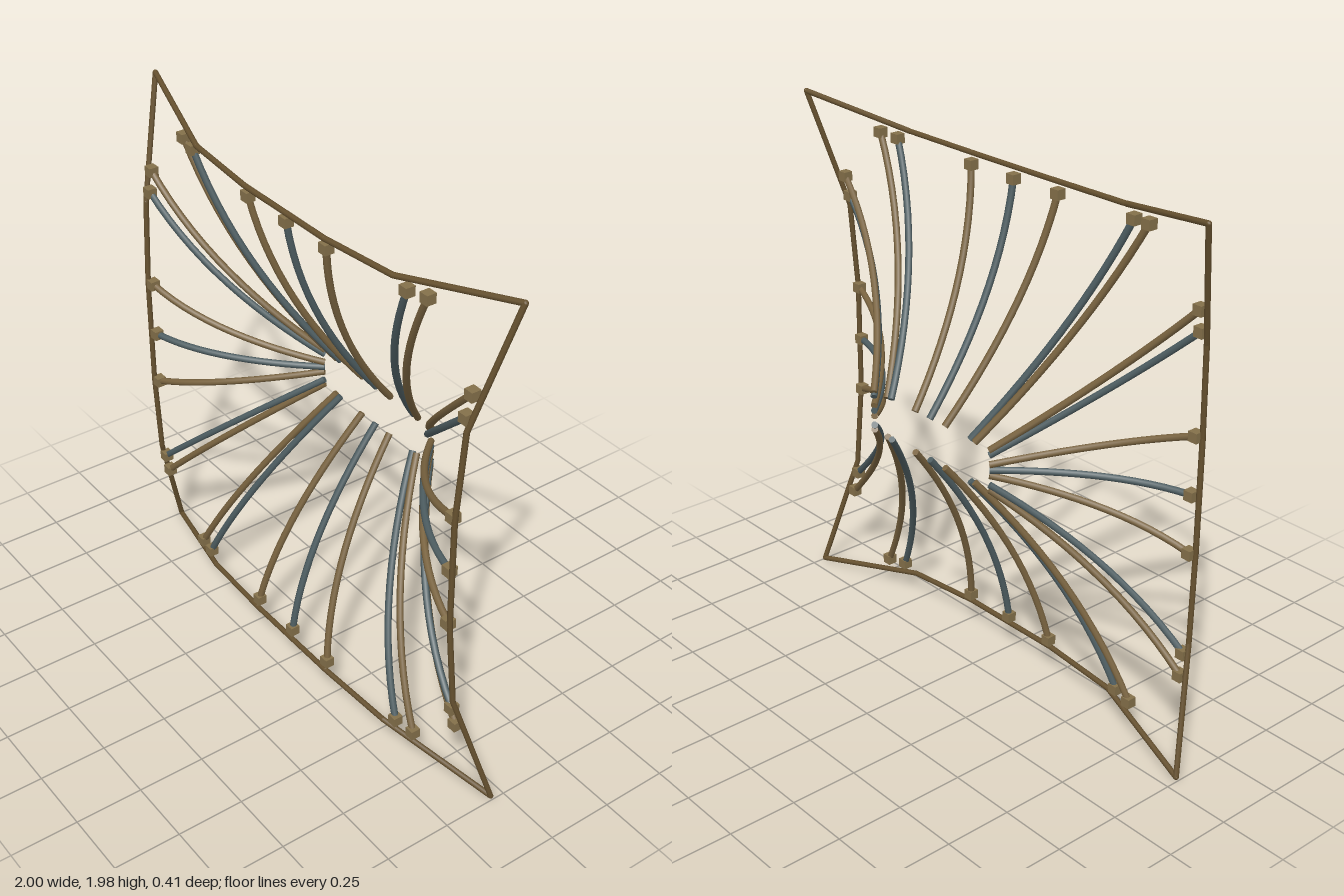
import * as THREE from 'three';

const CY = 0.99; // height of the centre of the frame

export function createModel() {
  const model = new THREE.Group();
  const mat = (name, color) => {
    const m = new THREE.MeshStandardMaterial({ color });
    m.name = name;
    return m;
  };
  const bronze = mat('bronze', 0x7a6440);
  const slate = mat('slate', 0x4e5e62);
  const darkBronze = mat('dark bronze', 0x66512f);
  const blockTan = mat('block tan', 0x84704a);

  const add = (parent, name, geometry, material, position) => {
    const mesh = new THREE.Mesh(geometry, material);
    mesh.name = name;
    if (position) mesh.position.copy(position);
    parent.add(mesh);
    return mesh;
  };

  // Outer frame: one quadrant of points, mirrored into a closed loop
  const quadrant = [
    [0.895, 0.21, 0.19], [0.906, 0.54, 0.17], [0.99, 0.98, 0.05],
    [0.54, 0.903, 0.17], [0.22, 0.892, 0.19],
  ];
  const loop = [];
  for (const [sx, sy] of [[1, 1], [-1, 1], [-1, -1], [1, -1]]) {
    const q = sx * sy > 0 ? quadrant : [...quadrant].reverse();
    for (const [x, y, z] of q) loop.push(new THREE.Vector3(sx * x, CY + sy * y, z));
  }
  const frame = new THREE.Group();
  frame.name = 'outerFrame';
  model.add(frame);
  const up = new THREE.Vector3(0, 1, 0);
  loop.forEach((a, i) => {
    const b = loop[(i + 1) % loop.length];
    const dir = b.clone().sub(a);
    const bar = add(frame, 'frameBar', new THREE.CylinderGeometry(0.01, 0.01, dir.length(), 8),
      darkBronze, a.clone().add(b).multiplyScalar(0.5));
    bar.quaternion.setFromUnitVectors(up, dir.normalize());
    add(frame, 'frameJoint', new THREE.SphereGeometry(0.01, 8, 6), darkBronze, a);
  });

  // Curved rib from the central opening out to a mounting block on the frame
  const bow = 0.13;
  function rib(inner, outer, material) {
    const group = new THREE.Group();
    group.name = 'rib';
    model.add(group);
    const mid = inner.clone().add(outer).multiplyScalar(0.5);
    mid.z += bow;
    const curve = new THREE.QuadraticBezierCurve3(inner, mid, outer);
    add(group, 'ribTube', new THREE.TubeGeometry(curve, 14, 0.0125, 8), material);
    const cap = add(group, 'ribCap', new THREE.CircleGeometry(0.0125, 8), material, inner);
    cap.quaternion.setFromUnitVectors(new THREE.Vector3(0, 0, 1), curve.getTangent(0).negate());
    add(group, 'mountingBlock', new THREE.BoxGeometry(0.036, 0.036, 0.036), blockTan, outer);
  }

  // Inner x, inner y, outer x, outer y, outer z (y measured from the centre)
  const ribs = [
    [0, 0.078, 0, 0.855, 0.18, slate],
    [0.08, 0.078, 0.217, 0.855, 0.18, bronze],
    [0.212, 0.078, 0.59, 0.87, 0.155, slate],
    [0.235, 0.075, 0.67, 0.878, 0.14, bronze],
    [0.31, 0.073, 0.895, 0.66, 0.145, bronze],
    [0.31, 0.055, 0.89, 0.582, 0.16, slate],
    [0.31, 0.02, 0.875, 0.213, 0.18, bronze],
    [0.31, 0, 0.87, 0, 0.18, slate],
  ];
  for (const [ix, iy, ox, oy, oz, material] of ribs) {
    for (const sx of ox === 0 ? [1] : [1, -1]) {
      for (const sy of oy === 0 ? [1] : [1, -1]) {
        rib(new THREE.Vector3(sx * ix, CY + sy * iy, -0.195),
          new THREE.Vector3(sx * ox, CY + sy * oy, oz), material);
      }
    }
  }
  return model;
}
